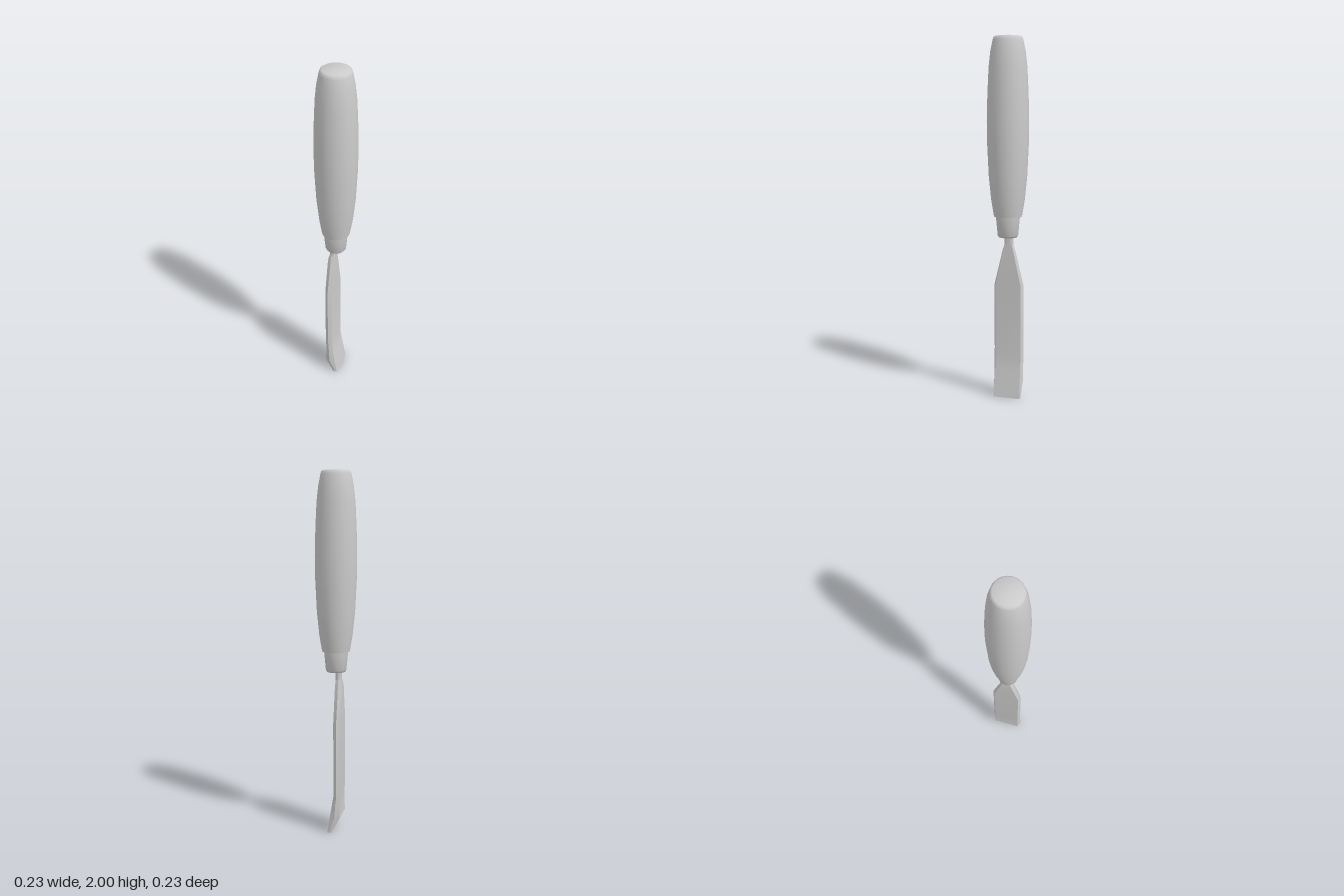
import * as THREE from 'three';
import { toCreasedNormals } from 'three/addons/utils/BufferGeometryUtils.js';

const material = new THREE.MeshStandardMaterial({ color: 0xcccccc });

function part(name, geometry, crease = 0.6) {
  const mesh = new THREE.Mesh(toCreasedNormals(geometry, crease), material);
  mesh.name = name;
  return mesh;
}

function turned(name, profile, sides, crease) {
  const points = profile.map(([r, y]) => new THREE.Vector2(r, y));
  return part(name, new THREE.LatheGeometry(points, sides), crease);
}

// Joins hexagonal sections, listed from bottom to top.
// Section: y, back x, front x, half width, edge bevel, slope of y across z
function bladeGeometry(sections) {
  const positions = [], index = [], n = 6;
  for (const [y, x0, x1, w, bevel, slope] of sections) {
    const mid = (x0 + x1) / 2, f = w - bevel;
    const ring = [[x1, f], [x1, -f], [mid, -w], [x0, -f], [x0, f], [mid, w]];
    for (const [x, z] of ring) positions.push(x, y + slope * z, z);
  }
  for (let s = 0; s < sections.length - 1; s++) {
    for (let i = 0; i < n; i++) {
      const a = s * n + i, b = s * n + (i + 1) % n;
      index.push(a, b, b + n, a, b + n, a + n);
    }
  }
  const top = (sections.length - 1) * n;
  for (let i = 1; i < n - 1; i++) {
    index.push(0, i + 1, i);
    index.push(top, top + i, top + i + 1);
  }
  const geometry = new THREE.BufferGeometry();
  geometry.setAttribute('position', new THREE.Float32BufferAttribute(positions, 3));
  geometry.setIndex(index);
  return geometry;
}

export function createModel() {
  const group = new THREE.Group();

  // Barrel-shaped grip
  group.add(turned('handle', [
    [0, 1.03], [0.077, 1.03], [0.092, 1.12], [0.105, 1.25], [0.113, 1.42], [0.115, 1.55],
    [0.111, 1.7], [0.104, 1.84], [0.095, 1.92], [0.083, 1.98], [0.078, 1.995], [0.07, 2], [0, 2],
  ], 20, 0.75));

  // Tapered collar under the grip
  group.add(turned('ferrule', [
    [0, 0.915], [0.05, 0.915], [0.058, 0.925], [0.068, 1.03], [0, 1.03],
  ], 12));

  // Flattened neck between collar and blade
  const neck = part('neck', new THREE.CylinderGeometry(0.026, 0.026, 0.09, 10), 0.8);
  neck.scale.x = 0.65;
  neck.position.set(-0.016, 0.885, 0);
  group.add(neck);

  // Thin blade with a tip bent towards +x
  group.add(part('blade', bladeGeometry([
    [0, 0.012, 0.035, 0.08, 0.003, 0],
    [0.09, -0.037, 0.02, 0.085, 0.01, 0],
    [0.17, -0.033, 0.007, 0.085, 0.012, 0],
    [0.24, -0.037, 0, 0.085, 0.012, 0.35],
    [0.64, -0.037, 0, 0.085, 0.012, 0],
    [0.83, -0.037, 0, 0.039, 0.008, 0],
    [0.87, -0.033, -0.002, 0.027, 0.006, 0],
  ]), 0.3));

  return group;
}
